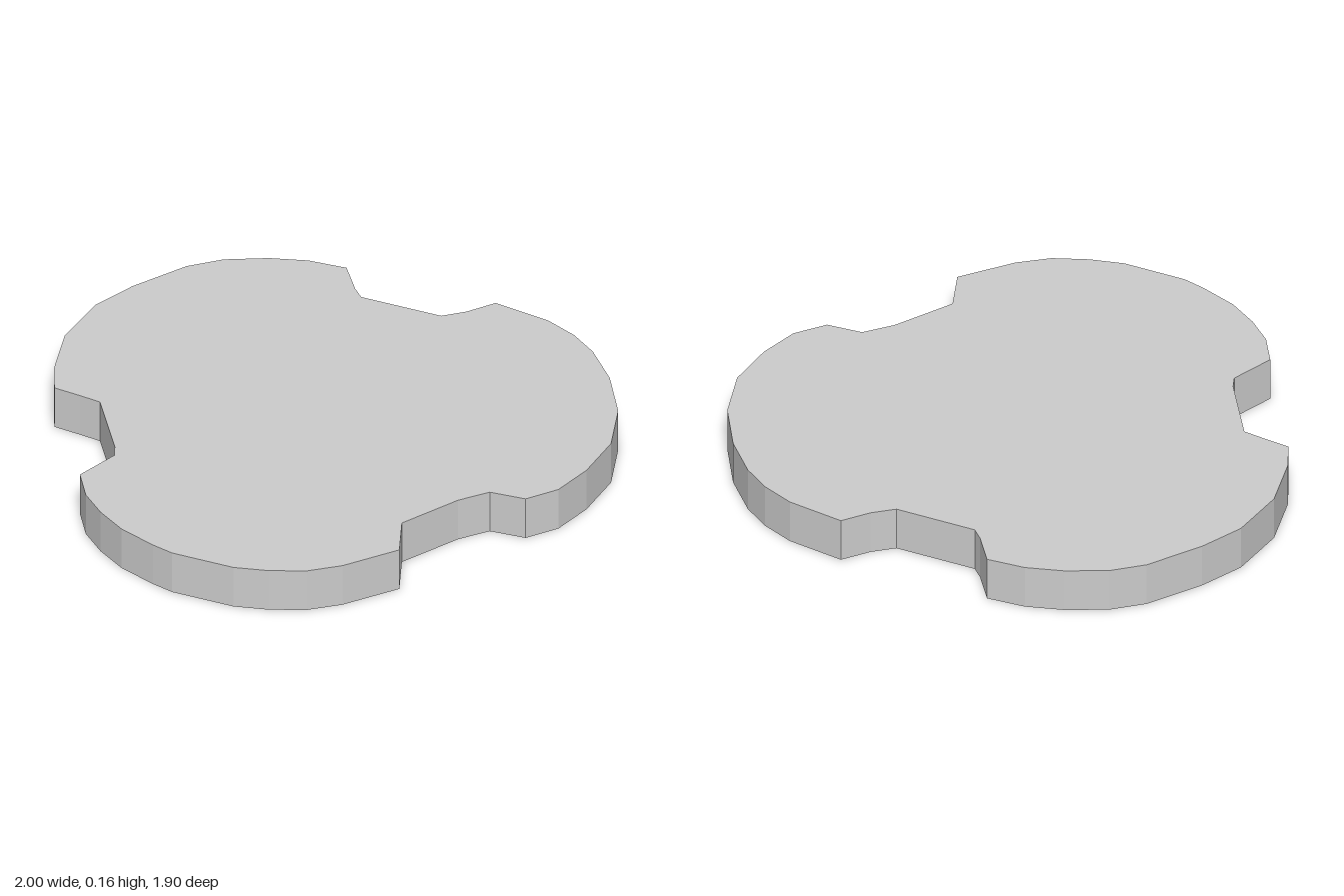
import * as THREE from 'three';

const HEIGHT = 0.16;

// Outline seen from above as [x, z], one run per lobe or recess
const backNotch = [[-0.28, -0.95], [-0.2, -0.84], [-0.16, -0.8], [0.14, -0.8], [0.21, -0.86], [0.28, -0.95]];
const leftLobe = [[0.49, -0.92], [0.61, -0.87], [0.71, -0.8], [0.83, -0.67], [0.94, -0.49],
  [1, -0.29], [0.99, -0.1], [0.95, 0.05], [0.87, 0.15]];
const leftWaist = [[0.74, 0.16], [0.66, 0.25], [0.54, 0.46]];
const frontLobe = [[0.6, 0.62], [0.46, 0.79], [0.36, 0.87], [0.24, 0.92], [0.12, 0.95], [-0.11, 0.95],
  [-0.19, 0.93], [-0.33, 0.88], [-0.44, 0.81], [-0.53, 0.73], [-0.6, 0.62]];
const rightWaist = [[-0.54, 0.46], [-0.56, 0.41], [-0.72, 0.17], [-0.8, 0.16]];
const rightLobe = [[-0.9, 0.15], [-0.95, 0.04], [-1, -0.17], [-0.98, -0.39], [-0.91, -0.55],
  [-0.79, -0.74], [-0.69, -0.83], [-0.55, -0.9], [-0.42, -0.94]];

export function createModel() {
  const group = new THREE.Group();
  group.name = 'lobedPlate';

  const outline = [...backNotch, ...leftLobe, ...leftWaist, ...frontLobe, ...rightWaist, ...rightLobe];
  const shape = new THREE.Shape(outline.map(([x, z]) => new THREE.Vector2(x, -z)));

  // Flat slab, extruded and laid down on the ground plane
  const geometry = new THREE.ExtrudeGeometry(shape, { depth: HEIGHT, bevelEnabled: false });
  geometry.rotateX(-Math.PI / 2);

  const plate = new THREE.Mesh(geometry, new THREE.MeshStandardMaterial({ color: 0xcccccc, flatShading: true }));
  plate.name = 'plate';
  group.add(plate);
  return group;
}
